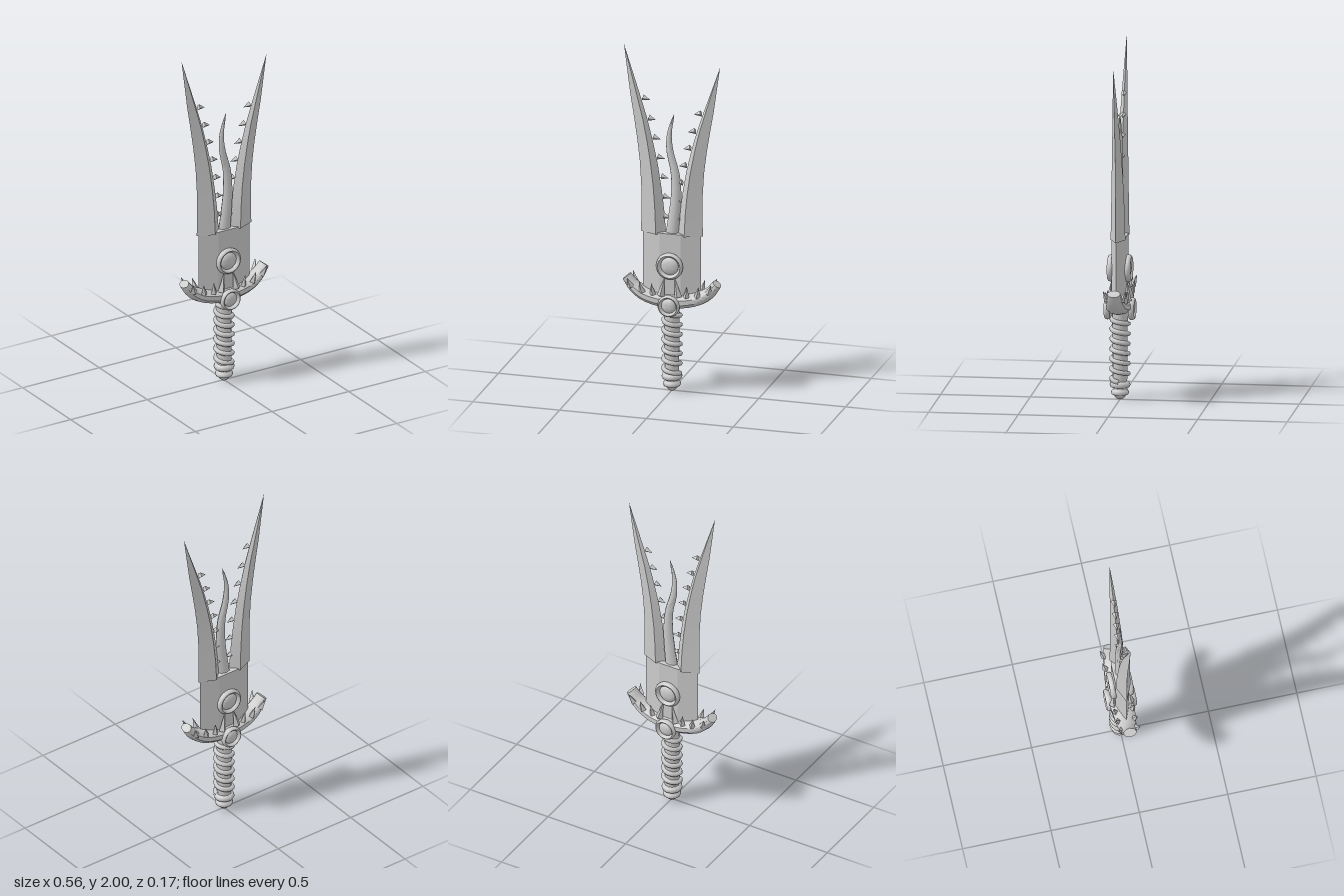
import * as THREE from 'three';
import { toCreasedNormals } from 'three/addons/utils/BufferGeometryUtils.js';

const steel = new THREE.MeshStandardMaterial({ color: 0xcccccc });
steel.name = 'steelGrey';

// Skin a list of rings (each a list of [x, y, z], counterclockwise along the path) and cap both ends.
function loft(rings, crease = 0.6) {
  const pos = [];
  const n = rings[0].length;
  const tri = (...p) => p.forEach((v) => pos.push(...v));
  for (let i = 0; i < rings.length - 1; i++) {
    for (let j = 0; j < n; j++) {
      const k = (j + 1) % n;
      const [a, b, c, d] = [rings[i][j], rings[i][k], rings[i + 1][k], rings[i + 1][j]];
      tri(a, b, c);
      tri(a, c, d);
    }
  }
  const last = rings[rings.length - 1];
  for (let j = 1; j < n - 1; j++) {
    tri(rings[0][0], rings[0][j + 1], rings[0][j]);
    tri(last[0], last[j], last[j + 1]);
  }
  const g = new THREE.BufferGeometry();
  g.setAttribute('position', new THREE.Float32BufferAttribute(pos, 3));
  return toCreasedNormals(g, crease);
}

function add(parent, name, geometry, x = 0, y = 0, z = 0) {
  const mesh = new THREE.Mesh(geometry, steel);
  mesh.name = name;
  mesh.position.set(x, y, z);
  parent.add(mesh);
  return mesh;
}

// Four-sided spike standing at p and pointing along dir.
function spike(parent, name, p, dir, radius, length) {
  const g = new THREE.ConeGeometry(radius, length, 4).translate(0, length / 2, 0);
  const mesh = add(parent, name, toCreasedNormals(g, 0.3), ...p);
  mesh.quaternion.setFromUnitVectors(new THREE.Vector3(0, 1, 0), new THREE.Vector3(...dir).normalize());
}

// One curved prong with its row of teeth; side is -1 or 1.
function prong(side, stretch) {
  const g = new THREE.Group();
  g.name = side < 0 ? 'rightProng' : 'leftProng';
  const lift = (y) => 0.92 + (y - 0.92) * stretch;
  // height, outer edge, ridge, inner edge, half thickness
  const rows = [
    [0.915, 0.178, 0.082, 0.034, 0.041], [1.05, 0.176, 0.087, 0.045, 0.039],
    [1.18, 0.177, 0.097, 0.061, 0.035], [1.32, 0.185, 0.114, 0.083, 0.031],
    [1.45, 0.2, 0.136, 0.111, 0.026], [1.58, 0.219, 0.163, 0.144, 0.021],
    [1.71, 0.24, 0.198, 0.184, 0.015], [1.85, 0.258, 0.236, 0.229, 0.008],
    [2.0, 0.277, 0.277, 0.277, 0],
  ];
  const rings = rows.map(([y, out, mid, inn, t]) => {
    const hi = Math.max(side * out, side * inn);
    const lo = Math.min(side * out, side * inn);
    const h = lift(y);
    return [[hi, h, 0], [side * mid, h, -t], [lo, h, 0], [side * mid, h, t]];
  });
  add(g, 'prongBlade', loft(rings, 0.25));
  const teeth = [[0.033, 1.01], [0.036, 1.125], [0.048, 1.24], [0.069, 1.353],
    [0.094, 1.465], [0.121, 1.575], [0.155, 1.69]];
  for (const [x, y] of teeth) {
    spike(g, 'tooth', [side * (x + 0.012), lift(y) + 0.006, 0], [-side, -0.25, 0], 0.018, 0.042);
  }
  return g;
}

// Round boss: a rounded ring with a shallow dome, facing front or back.
function medallion(parent, name, y, z, radius, depth, side) {
  const g = new THREE.Group();
  g.name = name;
  const p = [[0, 0], [0.9, 0], [0.97, 0.2], [1, 0.45], [0.98, 0.7], [0.92, 0.9], [0.84, 1],
    [0.76, 0.9], [0.7, 0.6], [0.66, 0.45], [0.58, 0.65], [0.42, 0.82], [0.22, 0.92], [0, 0.95]];
  const pts = p.map(([r, h]) => new THREE.Vector2(r * radius, h * depth));
  const lathe = toCreasedNormals(new THREE.LatheGeometry(pts, 24), 0.8);
  add(g, 'ringAndDome', lathe.rotateX(Math.PI / 2));
  g.position.set(0, y, side * z);
  if (side < 0) g.rotation.y = Math.PI;
  parent.add(g);
}

export function createModel() {
  const model = new THREE.Group();
  model.name = 'forkedSword';

  // Lower blade with a flat centre and bevelled edges
  const plate = (y) => [[0.166, y, 0], [0.06, y, -0.039], [-0.06, y, -0.039],
    [-0.166, y, 0], [-0.06, y, 0.039], [0.06, y, 0.039]];
  add(model, 'lowerBlade', loft([plate(0.53), plate(0.925)], 0.1));
  model.add(prong(-1, 1), prong(1, 0.92));

  // Wavy tongue rising between the prongs
  const wave = new THREE.CatmullRomCurve3([
    [0, 0.9], [0.014, 1.02], [0.024, 1.14], [0.018, 1.27],
    [-0.012, 1.4], [-0.015, 1.5], [0.012, 1.615],
  ].map(([x, y]) => new THREE.Vector3(x, y, 0)));
  const tongue = [];
  for (let i = 0; i <= 20; i++) {
    const c = wave.getPoint(i / 20);
    const r = 0.038 * Math.pow(1 - i / 20, 0.6) + 0.0005;
    tongue.push(Array.from({ length: 8 }, (_, j) => {
      const a = (j / 8) * Math.PI * 2;
      return [c.x + r * Math.cos(a), c.y, -0.7 * r * Math.sin(a)];
    }));
  }
  add(model, 'tongue', loft(tongue, 0.9));

  // Crescent guard, thick in the middle and blunt at its upturned ends
  const arc = new THREE.CatmullRomCurve3([
    [-0.26, 0.645], [-0.222, 0.595], [-0.165, 0.557], [-0.085, 0.537], [0, 0.532],
    [0.085, 0.537], [0.165, 0.557], [0.222, 0.595], [0.26, 0.645],
  ].map(([x, y]) => new THREE.Vector3(x, y, 0)));
  const guard = [];
  for (let i = 0; i <= 20; i++) {
    const c = arc.getPoint(i / 20);
    const t = arc.getTangent(i / 20);
    const k = Math.pow(Math.abs(c.x) / 0.26, 2);
    const h = 0.047 - 0.021 * k;
    const w = 0.071 - 0.034 * k;
    guard.push(Array.from({ length: 10 }, (_, j) => {
      const a = (j / 10) * Math.PI * 2;
      const n = h * Math.cos(a);
      return [c.x - t.y * n, c.y + t.x * n, w * Math.sin(a)];
    }));
  }
  add(model, 'guard', loft(guard, 0.8));

  // Spikes and medallions on both faces of the guard
  for (const z of [-1, 1]) {
    for (const x of [-1, 1]) {
      spike(model, 'guardSpike', [x * 0.222, 0.6, z * 0.04], [x * 0.35, 1, z * 0.4], 0.02, 0.064);
      spike(model, 'guardSpike', [x * 0.158, 0.575, z * 0.045], [x * 0.2, 1, z * 0.25], 0.019, 0.068);
      spike(model, 'guardSpike', [x * 0.096, 0.567, z * 0.048], [x * 0.1, 1, z * 0.15], 0.018, 0.07);
      spike(model, 'collarSpike', [x * 0.05, 0.565, z * 0.05], [-x * 0.2, 1, -z * 0.05], 0.022, 0.11);
    }
    medallion(model, 'bladeMedallion', 0.74, 0.032, 0.077, 0.034, z);
    medallion(model, 'guardMedallion', 0.513, 0.052, 0.063, 0.033, z);
  }

  // Grip with a spiral wrap
  add(model, 'grip', new THREE.CylinderGeometry(0.044, 0.04, 0.43, 12), 0, 0.285, 0);
  const turns = 6.5;
  const helix = new THREE.CatmullRomCurve3(Array.from({ length: 105 }, (_, i) => {
    const a = (i / 104) * turns * Math.PI * 2;
    return new THREE.Vector3(0.046 * Math.cos(a), 0.105 + 0.365 * (i / 104), 0.046 * Math.sin(a));
  }));
  add(model, 'gripWrap', new THREE.TubeGeometry(helix, 156, 0.014, 6));

  // Ringed pommel with a rounded end
  const pommel = [[0, 0], [0.018, 0.004], [0.031, 0.018], [0.034, 0.026], [0.046, 0.03],
    [0.05, 0.04], [0.046, 0.052], [0.036, 0.058], [0.038, 0.066], [0.053, 0.072],
    [0.058, 0.085], [0.053, 0.098], [0.038, 0.105], [0, 0.105]];
  add(model, 'pommel', new THREE.LatheGeometry(pommel.map((p) => new THREE.Vector2(...p)), 16));
  return model;
}
